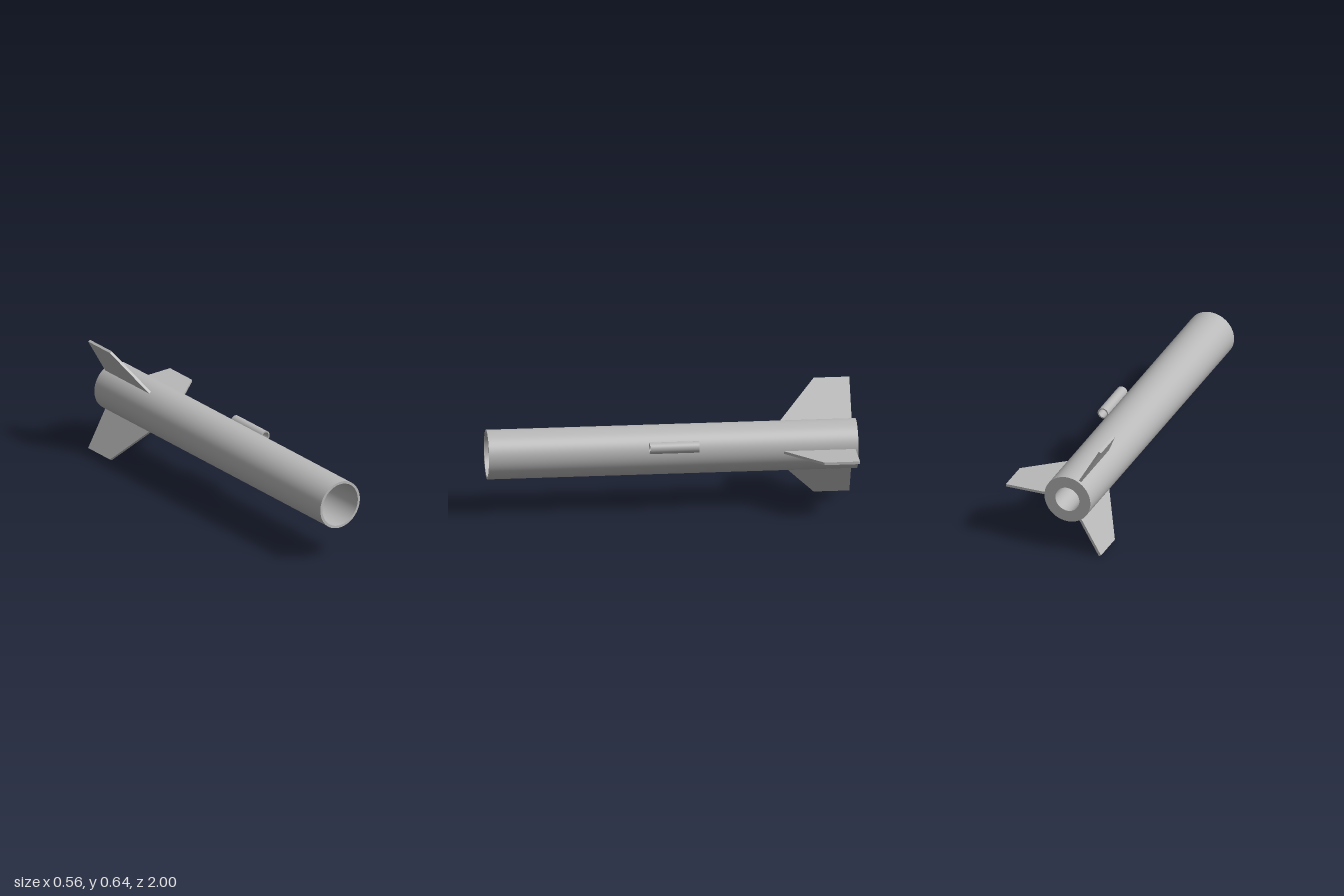
import * as THREE from 'three';
import { mergeGeometries } from 'three/addons/utils/BufferGeometryUtils.js';

const AXIS_X = -0.089, AXIS_Y = 0.322;

// Revolves profiles of [radius, z] about the z axis; each profile is smooth, with sharp edges between them
function revolve(profiles, segments = 64) {
  const parts = profiles.map((p) =>
    new THREE.LatheGeometry(p.map(([r, z]) => new THREE.Vector2(r, z)), segments));
  return mergeGeometries(parts).rotateX(Math.PI / 2);
}

// Hollow tube with square ends
function tube(outer, inner, z0, z1, segments) {
  const c = [[outer, z0], [outer, z1], [inner, z1], [inner, z0]];
  return revolve(c.map((p, i) => [p, c[(i + 1) % 4]]), segments);
}

export function createModel() {
  const model = new THREE.Group();
  model.name = 'rocket';
  const grey = new THREE.MeshStandardMaterial({ color: 0xb8b8b8 });
  grey.name = 'grey';

  const add = (name, geometry, parent) => {
    const mesh = new THREE.Mesh(geometry, grey);
    mesh.name = name;
    parent.add(mesh);
    return mesh;
  };

  const rocket = new THREE.Group();
  rocket.name = 'airframe';
  rocket.position.set(AXIS_X, AXIS_Y, 0);
  model.add(rocket);

  // Body tube, open at the front, with a thick ring around the motor hole at the back
  const R = 0.134, BORE = 0.12, HOLE = 0.07;
  add('bodyTube', revolve([
    [[R, -1], [R, 1]],
    [[R, 1], [BORE, 1]],
    [[BORE, 1], [BORE, 0.3]],
    [[BORE, 0.3], [0.096, 0.3]],
    [[0, -0.45], [HOLE, -0.45]].reverse(),
    [[HOLE, -0.45], [HOLE, -1]],
    [[HOLE, -1], [R, -1]],
  ], 72), rocket);

  // Blunt stepped cone recessed inside the tube
  const ogive = [], tip = [];
  for (let i = 0; i <= 10; i++) {
    const t = i / 10;
    ogive.push([0.096 - 0.028 * t * t, 0.6 + 0.14 * t]);
    const a = t * Math.PI / 2;
    tip.push([0.046 * Math.cos(a), 0.79 + 0.05 * Math.sin(a)]);
  }
  add('innerCone', revolve([
    [[0.096, 0.3], [0.096, 0.6]],
    ogive,
    [[0.068, 0.74], [0.046, 0.79]],
    tip,
  ]), rocket);

  // Three swept fins, 120 degrees apart
  const T = 0.0145;
  const outline = new THREE.Shape([[0.128, 0.59], [0.366, 0.79], [0.366, 0.983], [0.128, 0.983]]
    .map(([x, y]) => new THREE.Vector2(x, y)));
  const finGeometry = new THREE.ExtrudeGeometry(outline, { depth: T, bevelEnabled: false })
    .translate(0, 0, -T / 2).rotateX(-Math.PI / 2);
  ['leftFin', 'upperRightFin', 'lowerRightFin'].forEach((name, i) => {
    add(name, finGeometry, rocket).rotation.z = i * Math.PI * 2 / 3;
  });

  // Launch lug on the left side
  add('launchLug', tube(0.031, 0.0235, -0.133, 0.133, 40), model).position.set(0.067, 0.376, 0);

  return model;
}
